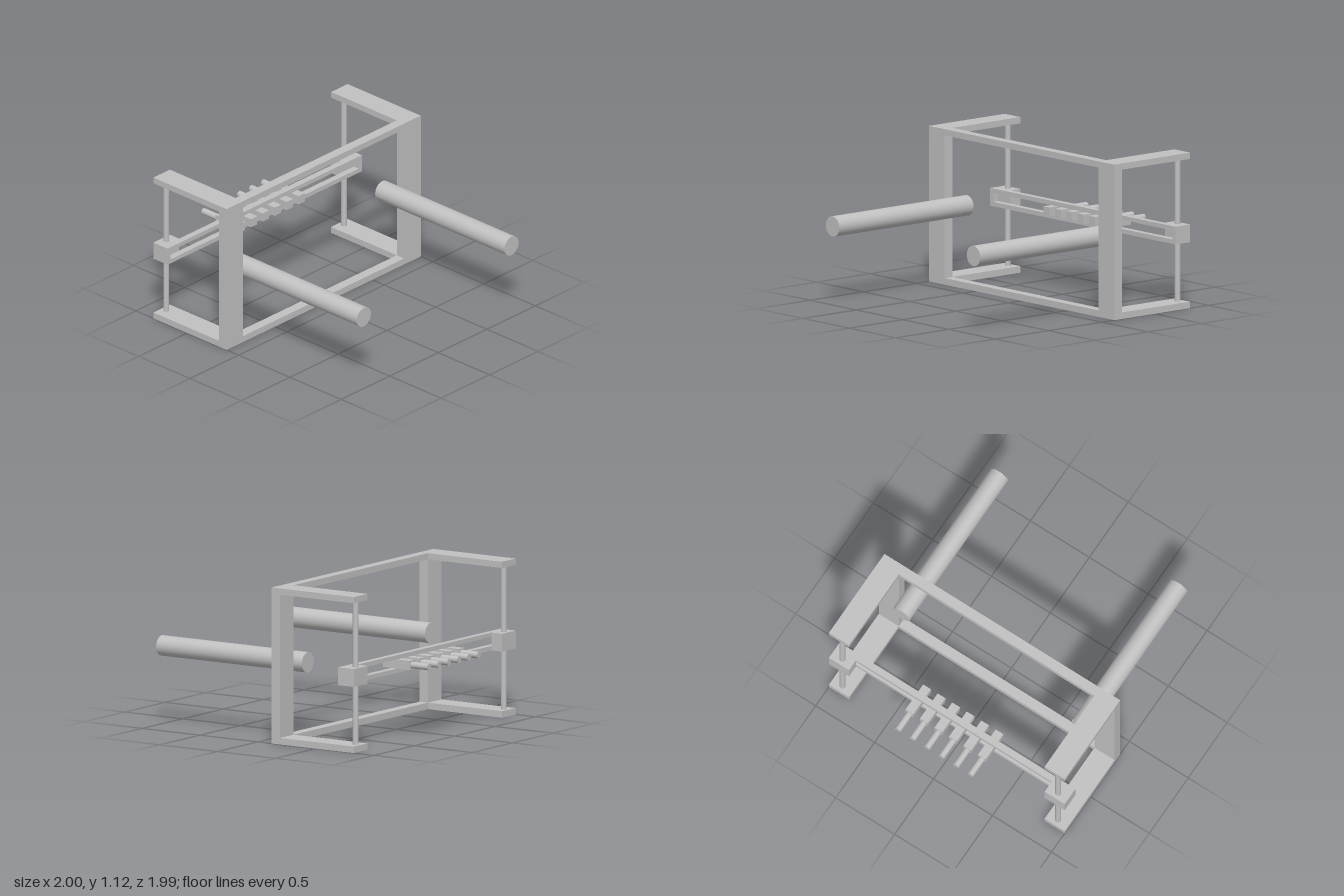
import * as THREE from 'three';

const grey = new THREE.MeshStandardMaterial({ color: 0xc0c0c0 });
grey.name = 'light grey';

// Box given by its min and max on each axis
function box(name, [x0, x1], [y0, y1], [z0, z1]) {
  const m = new THREE.Mesh(new THREE.BoxGeometry(x1 - x0, y1 - y0, z1 - z0), grey);
  m.position.set((x0 + x1) / 2, (y0 + y1) / 2, (z0 + z1) / 2);
  m.name = name;
  return m;
}

// Round bar along z
function barZ(name, r, x, y, z0, z1) {
  const g = new THREE.CylinderGeometry(r, r, z1 - z0, 48).rotateX(Math.PI / 2);
  const m = new THREE.Mesh(g, grey);
  m.position.set(x, y, (z0 + z1) / 2);
  m.name = name;
  return m;
}

// Rectangular ring in the xy plane, extruded from z0 to z1
function ring(name, w, y0, y1, innerW, iy0, iy1, z0, z1) {
  const shape = new THREE.Shape();
  shape.moveTo(-w, y0).lineTo(w, y0).lineTo(w, y1).lineTo(-w, y1).closePath();
  const hole = new THREE.Path();
  hole.moveTo(-innerW, iy0).lineTo(-innerW, iy1).lineTo(innerW, iy1).lineTo(innerW, iy0).closePath();
  shape.holes.push(hole);
  const g = new THREE.ExtrudeGeometry(shape, { depth: z1 - z0, bevelEnabled: false });
  const m = new THREE.Mesh(g, grey);
  m.position.z = z0;
  m.name = name;
  return m;
}

export function createModel() {
  const model = new THREE.Group();
  model.name = 'slidingRackFrame';

  // Upright main frame
  model.add(ring('mainFrame', 1, 0, 1.12, 0.83, 0.047, 1.075, -0.19, -0.117));

  // Slotted crossbar made of two rails closed at the ends
  model.add(ring('slottedRail', 1, 0.475, 0.603, 0.97, 0.507, 0.572, -0.74, -0.692));

  for (const s of [-1, 1]) {
    const side = s > 0 ? 'left' : 'right';
    const span = s > 0 ? [0.83, 1] : [-1, -0.83];
    // Arms reaching back from the frame corners
    model.add(box(side + 'TopArm', span, [1.075, 1.12], [-0.83, -0.19]));
    model.add(box(side + 'BottomArm', span, [0, 0.047], [-0.83, -0.19]));
    // Sliding block on its vertical guide rod
    model.add(box(side + 'SlideBlock', span, [0.475, 0.603], [-0.83, -0.74]));
    const rod = new THREE.Mesh(new THREE.CylinderGeometry(0.021, 0.021, 1.03, 32), grey);
    rod.position.set(s * 0.915, 0.561, -0.785);
    rod.name = side + 'GuideRod';
    model.add(rod);
    // Long forward handle
    model.add(barZ(side + 'Handle', 0.073, s * 0.76, 0.564, -0.265, 0.995));
  }

  // Row of carriages with round pins, held in the slot
  for (let i = 0; i < 6; i++) {
    const x = -0.309 + i * 0.123;
    const carriage = new THREE.Group();
    carriage.name = 'carriage' + (i + 1);
    carriage.add(box('carriageBlock', [x - 0.033, x + 0.033], [0.507, 0.572], [-0.848, -0.62]));
    carriage.add(barZ('carriagePin', 0.024, x, 0.538, -0.995, -0.848));
    model.add(carriage);
  }
  return model;
}
